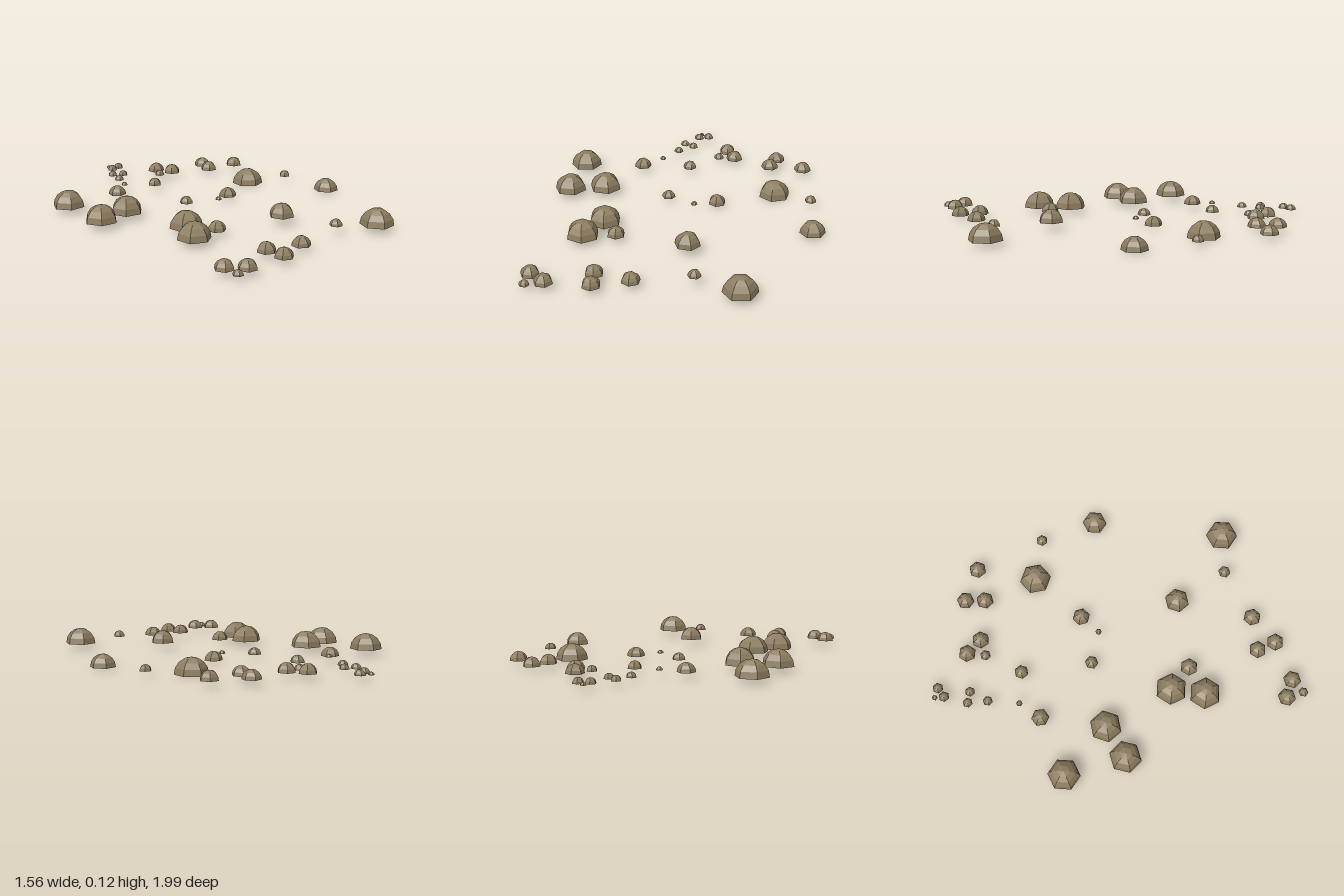
import * as THREE from 'three';

// x, z, radius, base height, turn of the six-sided dome in degrees
const OPEN = [
  [-0.58, -0.53, 0.09, 0.03, 0], [-0.64, -0.19, 0.09, 0.03, 10], [-0.44, -0.21, 0.09, 0.03, 15],
  [0.54, -0.18, 0.09, 0, 45], [0.735, -0.045, 0.033, 0.03, 20],
  [-0.41, 0.21, 0.09, 0.03, 30], [-0.515, 0.367, 0.09, 0.03, 30], [-0.34, 0.36, 0.05, 0.03, 30],
  [0.71, 0.287, 0.07, 0.01, 0], [0.04, 0.483, 0.07, 0.045, 15],
  [-0.735, 0.763, 0.05, 0.03, 10], [-0.66, 0.84, 0.05, 0.03, 12], [-0.75, 0.86, 0.027, 0.03, 5],
  [-0.42, 0.755, 0.05, 0.03, 30], [-0.425, 0.866, 0.05, 0.03, 30], [-0.235, 0.823, 0.05, 0.03, 40],
  [0.075, 0.81, 0.035, 0.055, 10], [0.295, 0.914, 0.09, 0.03, 0],
];
const CLOSED = [
  [0.127, -0.986, 0.016, 0.03, 0], [0.11, -0.937, 0.03, 0.03, 15], [0.17, -0.948, 0.03, 0.03, 15],
  [0.02, -0.834, 0.028, 0.03, 10], [0.072, -0.797, 0.028, 0.03, 20], [-0.02, -0.73, 0.028, 0.03, 5],
  [0.285, -0.72, 0.05, 0.03, 30], [0.325, -0.62, 0.05, 0.03, 20], [0.23, -0.633, 0.03, 0.03, 10],
  [-0.115, -0.58, 0.018, 0.045, 0], [0.583, -0.6, 0.05, 0.03, 0], [0.535, -0.5, 0.05, 0.03, 10],
  [0.73, -0.46, 0.05, 0.03, 15], [0.05, -0.493, 0.04, 0.03, 15], [-0.235, -0.51, 0.05, 0.03, 50],
  [-0.07, -0.115, 0.038, 0.02, 5], [0.205, -0.047, 0.05, 0.015, 40], [0.075, 0, 0.018, 0.03, 0],
];

export function createModel() {
  const group = new THREE.Group();
  group.name = 'scatteredStones';
  const stone = new THREE.MeshStandardMaterial({
    name: 'stone brown', color: 0x8d7d60, flatShading: true, side: THREE.DoubleSide,
  });

  // Shared unit shapes: faceted dome and its underside
  const dome = new THREE.SphereGeometry(1, 6, 4, 0, Math.PI * 2, 0, Math.PI / 2);
  const base = new THREE.CircleGeometry(1, 6).rotateX(Math.PI / 2);

  const addStone = ([x, z, r, y, turn], closed) => {
    const rock = new THREE.Group();
    rock.name = closed ? 'solidStone' : 'domeStone';
    const top = new THREE.Mesh(dome, stone);
    top.name = 'stoneDome';
    rock.add(top);
    if (closed) {
      const under = new THREE.Mesh(base, stone);
      under.name = 'stoneUnderside';
      rock.add(under);
    }
    rock.position.set(x, y, z);
    rock.rotation.y = -THREE.MathUtils.degToRad(turn);
    rock.scale.setScalar(r);
    group.add(rock);
  };

  OPEN.forEach((s) => addStone(s, false));
  CLOSED.forEach((s) => addStone(s, true));
  return group;
}
